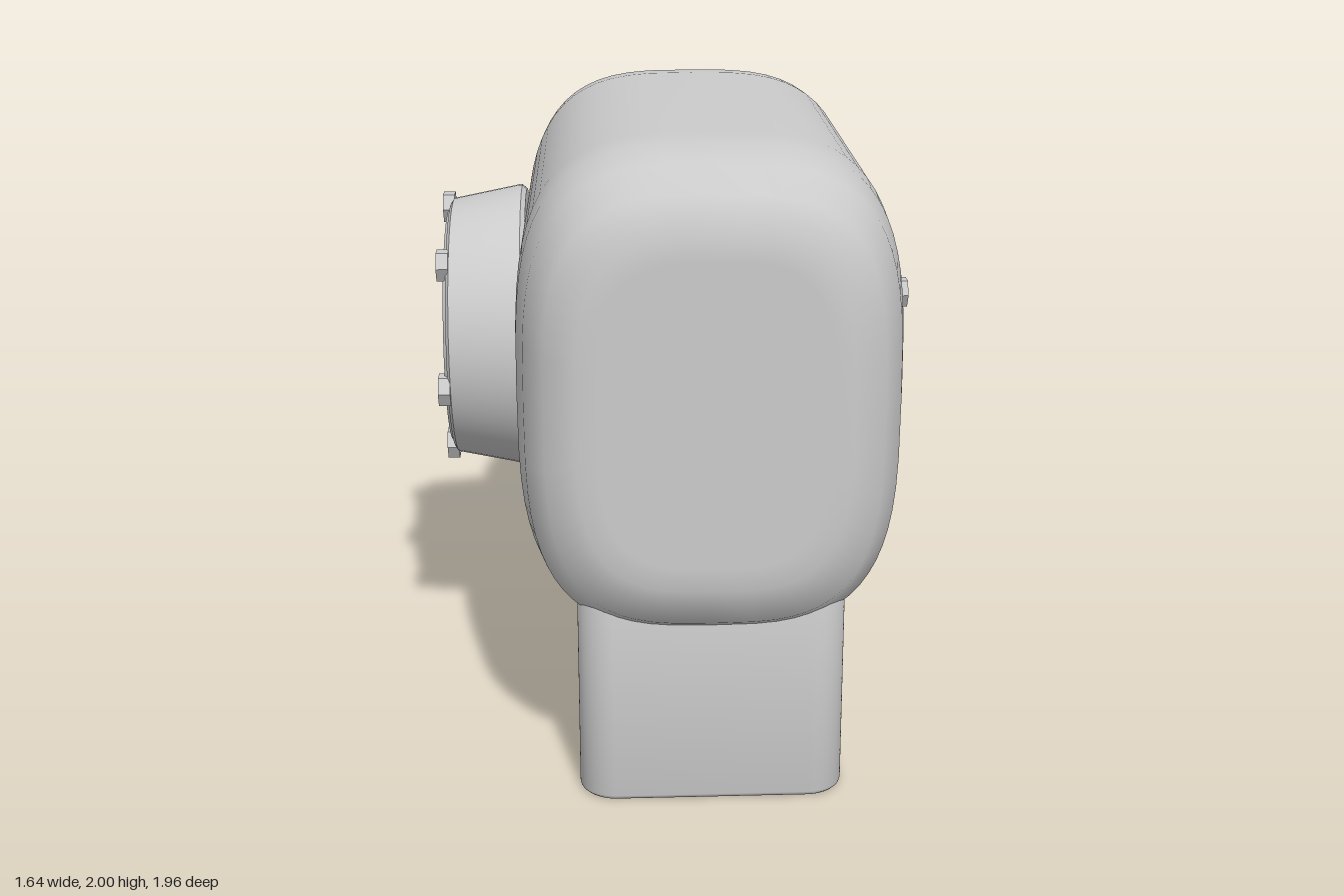
import * as THREE from 'three';
import { toCreasedNormals } from 'three/addons/utils/BufferGeometryUtils.js';

const material = new THREE.MeshStandardMaterial({ color: 0xcccccc });

function addMesh(parent, name, geometry) {
  const mesh = new THREE.Mesh(geometry, material);
  mesh.name = name;
  parent.add(mesh);
  return mesh;
}

// Housing: superellipse sections lofted along z, drawn in at both ends
function housingGeometry() {
  const half = [[0.98, 0.40, 0.53], [0.945, 0.49, 0.645], [0.84, 0.55, 0.71], [0.69, 0.575, 0.74], [0.56, 0.58, 0.75]];
  const sections = [
    [0.98, 0, 0], [0.98, 0.34, 0.46], ...half,
    ...half.map(([z, w, h]) => [-z, w, h]).reverse(), [-0.98, 0.34, 0.46], [-0.98, 0, 0],
  ];
  const n = 64, power = 2 / 3.3, positions = [], index = [];
  const bend = (v) => Math.sign(v) * Math.abs(v) ** power;
  for (const [z, w, h] of sections) {
    for (let i = 0; i < n; i++) {
      const a = (i / n) * Math.PI * 2;
      positions.push(0.04 + w * bend(Math.cos(a)), 1.25 + h * bend(Math.sin(a)), z);
    }
  }
  for (let s = 0; s < sections.length - 1; s++) {
    for (let i = 0; i < n; i++) {
      const a = s * n + i, b = s * n + (i + 1) % n;
      if (s < sections.length - 2) index.push(a, a + n, b + n);
      if (s > 0) index.push(a, b + n, b);
    }
  }
  const geometry = new THREE.BufferGeometry();
  geometry.setAttribute('position', new THREE.Float32BufferAttribute(positions, 3));
  geometry.setIndex(index);
  geometry.computeVertexNormals();
  return geometry;
}

// Base: rounded rectangle pulled upwards into the housing
function baseGeometry() {
  const bevel = 0.015, w = 0.405 - bevel, d = 0.695 - bevel, r = 0.1;
  const shape = new THREE.Shape();
  shape.absarc(w - r, d - r, r, 0, Math.PI / 2);
  shape.absarc(r - w, d - r, r, Math.PI / 2, Math.PI);
  shape.absarc(r - w, r - d, r, Math.PI, Math.PI * 1.5);
  shape.absarc(w - r, r - d, r, Math.PI * 1.5, Math.PI * 2);
  const geometry = new THREE.ExtrudeGeometry(shape, {
    depth: 0.62, bevelThickness: bevel, bevelSize: bevel, bevelSegments: 3, curveSegments: 10,
  });
  geometry.rotateX(-Math.PI / 2);
  geometry.translate(0.04, bevel, 0.215);
  return toCreasedNormals(geometry, 0.6);
}

// Round cover with a ring of hexagonal bolts; local +y points outwards
function createCover(name, profile, bolts) {
  const group = new THREE.Group();
  group.name = name;
  const points = profile.map(([r, y]) => new THREE.Vector2(r, y));
  addMesh(group, 'coverDrum', toCreasedNormals(new THREE.LatheGeometry(points, 64), 0.5));
  for (let i = 0; i < bolts.count; i++) {
    const a = bolts.start + (i / bolts.count) * Math.PI * 2;
    const head = new THREE.CylinderGeometry(0.055, 0.055, 0.04, 6);
    const bolt = addMesh(group, 'bolt', toCreasedNormals(head, 0.5));
    bolt.position.set(bolts.radius * Math.sin(a), bolts.height, bolts.radius * Math.cos(a));
  }
  return group;
}

export function createModel() {
  const model = new THREE.Group();
  model.name = 'gearHousing';
  addMesh(model, 'housing', housingGeometry());
  addMesh(model, 'base', baseGeometry());

  // Large cover on the -x side
  const large = createCover('largeCover',
    [[0, 0], [0.47, 0], [0.485, 0.015], [0.485, 0.025], [0.44, 0.25], [0.425, 0.26], [0.41, 0.26], [0.40, 0.27], [0, 0.27]],
    { count: 6, radius: 0.41, height: 0.27, start: THREE.MathUtils.degToRad(-15.5) });
  large.rotation.z = Math.PI / 2;
  large.position.set(-0.53, 1.16, -0.35);
  // local +x becomes +y, so bolt angles run from +z towards up
  model.add(large);

  // Small cover on the +x side; local +x becomes -y
  const small = createCover('smallCover',
    [[0, 0], [0.225, 0], [0.238, 0.015], [0.238, 0.025], [0.22, 0.165], [0.205, 0.175], [0.20, 0.18], [0, 0.18]],
    { count: 3, radius: 0.2, height: 0.19, start: THREE.MathUtils.degToRad(-43) });
  small.rotation.z = -Math.PI / 2;
  small.position.set(0.61, 1.07, -0.693);
  model.add(small);
  return model;
}
